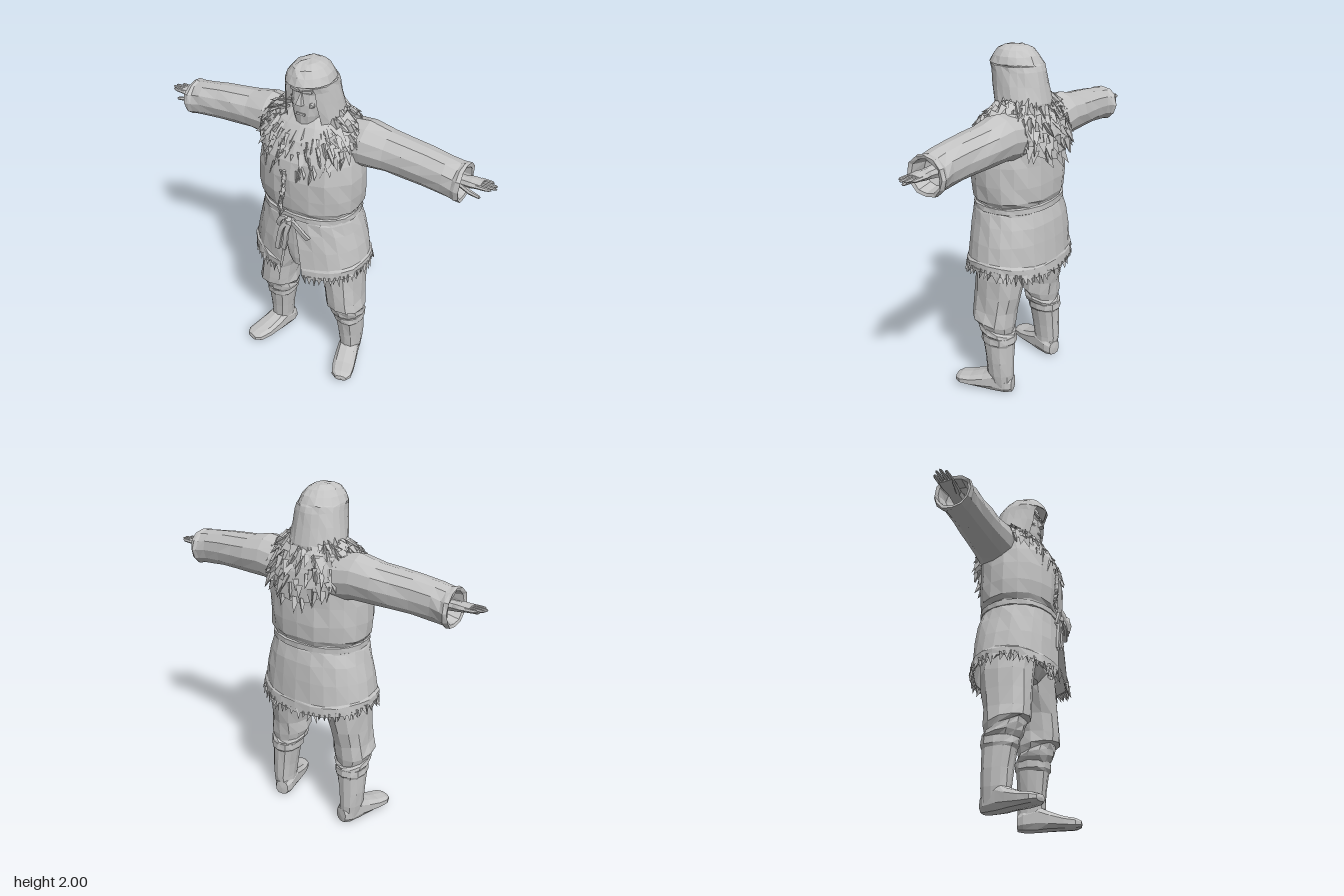
import * as THREE from 'three';
import { mergeGeometries } from 'three/addons/utils/BufferGeometryUtils.js';

const cloth = new THREE.MeshStandardMaterial({ color: 0xc4c4c4, flatShading: true, side: THREE.DoubleSide });
cloth.name = 'plain grey';

// Small seeded random source
let seed = 7;
const rand = () => (seed = (seed * 16807) % 2147483647) / 2147483647;
const vary = (a) => (rand() * 2 - 1) * a;

function mesh(name, geometry) {
  const m = new THREE.Mesh(geometry, cloth);
  m.name = name;
  return m;
}

// Surface from a rule fn(column 0..1, row index, column index)
function grid(cols, rows, fn) {
  const pos = [], idx = [];
  for (let i = 0; i < rows; i++) for (let j = 0; j <= cols; j++) pos.push(...fn(j / cols, i, j));
  for (let i = 0; i < rows - 1; i++) for (let j = 0; j < cols; j++) {
    const a = i * (cols + 1) + j, c = a + cols + 1;
    idx.push(a, a + 1, c, a + 1, c + 1, c);
  }
  const g = new THREE.BufferGeometry();
  g.setAttribute('position', new THREE.Float32BufferAttribute(pos, 3));
  g.setIndex(idx);
  g.computeVertexNormals();
  return g;
}

const soft = (v, p) => Math.sign(v) * Math.abs(v) ** p;

// Loft; each row is [y, centreX, centreZ, radiusX, radiusZ, frontGap, tilt, sag]
function loft(rows, cols = 14, jitter = 0.005, p = 0.88) {
  const noise = rows.map(() => Array.from({ length: cols }, () => [vary(jitter), vary(jitter)]));
  return grid(cols, rows.length, (u, i, j) => {
    const [y, cx, cz, rx, rz, gap = 0, tilt = 0, sag = 0] = rows[i];
    const t = gap + u * (Math.PI * 2 - 2 * gap), c = Math.cos(t), s = Math.sin(t);
    const [n, h] = rx > 0 ? noise[i][j % cols] : [0, 0];
    return [cx + soft(s, p) * (rx + n), y + tilt * c - sag * c * c + h, cz + soft(c, p) * (rz + n)];
  });
}

// Three-sided lock of fur
function tuft(at, dir, len, width) {
  const g = new THREE.ConeGeometry(width, len, 3);
  g.rotateY(rand() * 6);
  g.translate(0, len * 0.3, 0);
  g.applyQuaternion(new THREE.Quaternion().setFromUnitVectors(new THREE.Vector3(0, 1, 0), dir.clone().normalize()));
  return g.translate(at.x, at.y, at.z);
}

// Flat ribbon along a path
function ribbon(points, w, thick) {
  const curve = new THREE.CatmullRomCurve3(points.map((q) => new THREE.Vector3(...q)));
  const n = 8;
  return grid(4, n + 1, (u, i) => {
    const q = curve.getPoint(i / n), t = curve.getTangent(i / n);
    const a = u * Math.PI * 2 + Math.PI / 4, s = Math.sin(a) * w * 0.7, c = Math.cos(a) * thick * 0.7;
    const l = Math.hypot(t.x, t.y) || 1;
    return [q.x + (t.y / l) * s, q.y - (t.x / l) * s, q.z + c];
  });
}

function makeArm() {
  const arm = new THREE.Group();
  // Sleeve with a hollow cuff
  const sleeve = loft([
    [0.16, -1.55, -0.07, 0.13, 0.13], [0.3, -1.57, -0.07, 0.125, 0.128], [0.42, -1.562, -0.07, 0.112, 0.115],
    [0.52, -1.555, -0.065, 0.108, 0.108], [0.63, -1.547, -0.06, 0.106, 0.102], [0.74, -1.537, -0.055, 0.101, 0.1],
    [0.8, -1.527, -0.055, 0.1, 0.102], [0.82, -1.525, -0.055, 0.104, 0.11], [0.84, -1.525, -0.055, 0.1, 0.105],
    [0.835, -1.525, -0.055, 0.082, 0.086], [0.76, -1.53, -0.055, 0.07, 0.075], [0.72, -1.53, -0.055, 0, 0],
  ], 12, 0.004, 1);
  arm.add(mesh('sleeve', sleeve.rotateZ(-Math.PI / 2)));
  // Palm, fingers and thumb
  const palm = loft([[0.74, -1.53, -0.055, 0.035, 0.04], [0.83, -1.535, -0.055, 0.025, 0.035],
    [0.87, -1.54, -0.058, 0.022, 0.045], [0.92, -1.543, -0.06, 0.014, 0.045], [0.925, -1.543, -0.06, 0, 0]], 8, 0);
  arm.add(mesh('palm', palm.rotateZ(-Math.PI / 2)));
  [0.97, 0.995, 1, 0.98].forEach((tip, k) => {
    const z = -0.094 + k * 0.023;
    const f = loft([[0.9, -1.543, z, 0.01, 0.012], [0.95, -1.545, z, 0.009, 0.011], [tip - 0.01, -1.547, z, 0.006, 0.008],
      [tip, -1.547, z, 0, 0]], 6, 0);
    arm.add(mesh('finger', f.rotateZ(-Math.PI / 2)));
  });
  const thumb = loft([[0.82, -1.525, -0.03, 0.014, 0.016], [0.88, -1.51, -0.012, 0.012, 0.013],
    [0.93, -1.505, -0.004, 0.008, 0.009], [0.94, -1.505, -0.003, 0, 0]], 6, 0);
  arm.add(mesh('thumb', thumb.rotateZ(-Math.PI / 2)));
  return arm;
}

function makeLeg() {
  const leg = new THREE.Group();
  // Baggy trouser leg folding over the boot
  leg.add(mesh('trouserLeg', loft([
    [0.37, 0.243, -0.025, 0.078, 0.09], [0.4, 0.24, -0.015, 0.1, 0.108, 0, 0.02], [0.425, 0.235, -0.01, 0.105, 0.11, 0, 0.03],
    [0.445, 0.235, 0, 0.1, 0.11, 0, 0.04], [0.475, 0.235, 0.01, 0.116, 0.125, 0, 0.02], [0.54, 0.23, 0.006, 0.106, 0.13],
    [0.64, 0.218, -0.002, 0.112, 0.138], [0.75, 0.195, -0.008, 0.135, 0.145], [0.84, 0.175, -0.01, 0.14, 0.148], [0.98, 0.16, -0.01, 0.13, 0.145],
  ], 12, 0.006)));
  // Boot shaft with a rolled top
  leg.add(mesh('bootShaft', loft([
    [0.05, 0.25, -0.045, 0.058, 0.07], [0.13, 0.255, -0.04, 0.064, 0.08], [0.22, 0.252, -0.035, 0.072, 0.083],
    [0.33, 0.245, -0.028, 0.08, 0.092], [0.345, 0.245, -0.026, 0.09, 0.102], [0.385, 0.242, -0.024, 0.09, 0.102], [0.395, 0.242, -0.024, 0.075, 0.085],
  ], 12, 0.003)));
  // Foot turned outward
  const foot = loft([
    [-0.08, 0, -0.055, 0, 0], [-0.075, 0, -0.055, 0.04, 0.046], [-0.04, 0, -0.062, 0.06, 0.059], [0.04, 0, -0.075, 0.064, 0.074],
    [0.1, 0, -0.063, 0.068, 0.055], [0.18, 0.002, -0.05, 0.07, 0.038], [0.245, 0.006, -0.046, 0.062, 0.03],
    [0.275, 0.01, -0.045, 0.035, 0.018], [0.28, 0.01, -0.045, 0, 0],
  ], 10, 0.001, 0.75).rotateX(Math.PI / 2).rotateY(0.27).translate(0.25, 0, -0.04);
  leg.add(mesh('foot', foot));
  return leg;
}

function makeHead() {
  const head = new THREE.Group();
  head.name = 'head';
  head.add(mesh('hood', loft([
    [1.62, 0, -0.03, 0.165, 0.15, 0.75], [1.71, 0, -0.03, 0.162, 0.15, 0.65], [1.8, 0, -0.012, 0.146, 0.148, 0.62],
    [1.87, 0, 0, 0.133, 0.147, 0.66], [1.9, 0, 0.012, 0.127, 0.147, 0.62], [1.908, 0, 0.018, 0.124, 0.148],
    [1.945, 0, 0.02, 0.108, 0.128], [1.975, 0, 0.022, 0.082, 0.1], [1.995, 0, 0.02, 0.045, 0.06], [2, 0, 0.015, 0, 0],
  ], 18, 0.003, 0.95)));
  head.add(mesh('face', loft([
    [1.58, 0, 0.01, 0.07, 0.07], [1.655, 0, 0.02, 0.055, 0.075], [1.68, 0, 0.025, 0.068, 0.09], [1.73, 0, 0.025, 0.083, 0.095],
    [1.79, 0, 0.025, 0.094, 0.094], [1.845, 0, 0.025, 0.094, 0.083], [1.87, 0, 0.025, 0.092, 0.095], [1.92, 0, 0.02, 0.09, 0.09],
  ], 14, 0.001, 0.9)));
  // Wedge nose, brow and lips
  const nose = new THREE.ConeGeometry(0.024, 0.075, 4).rotateY(Math.PI / 4).rotateX(-0.25).translate(0, 1.828, 0.118);
  head.add(mesh('nose', nose));
  head.add(mesh('lips', new THREE.BoxGeometry(0.05, 0.012, 0.02).translate(0, 1.738, 0.113)));
  for (const s of [-1, 1]) {
    head.add(mesh('brow', new THREE.BoxGeometry(0.05, 0.014, 0.02).rotateZ(s * 0.1).rotateY(s * 0.25).translate(s * 0.036, 1.868, 0.112)));
    head.add(mesh('cheek', new THREE.IcosahedronGeometry(0.022, 0).translate(s * 0.05, 1.79, 0.092)));
  }
  return head;
}

function makeCollar() {
  const collar = new THREE.Group();
  collar.name = 'furCollar';
  // Mantle: high over the shoulders, deep at chest and back
  const point = (t, depth) => {
    const s = Math.max(0, depth), c = Math.cos(t);
    const top = 1.74 - 0.08 * Math.max(0, c), low = 1.6 - 0.18 * c * c;
    const r = Math.sin((s * Math.PI) / 2);
    return new THREE.Vector3(soft(Math.sin(t), 0.9) * (0.12 + 0.165 * r), top + (low - top) * s ** 1.3,
      -0.018 + soft(c, 0.9) * (0.11 + 0.122 * r));
  };
  collar.add(mesh('mantle', grid(24, 6, (u, i) => point(u * Math.PI * 2, 1 - i / 5).toArray())));
  // Rows of fur locks
  const locks = [];
  for (let i = 0; i < 7; i++) for (let j = 0; j < 34; j++) {
    const t = ((j + (i % 2) / 2) / 34) * Math.PI * 2 + vary(0.07), s = 0.12 + i * 0.14 + vary(0.05);
    const at = point(t, s), dir = point(t, s + 0.08).sub(point(t, s - 0.08)).normalize();
    dir.add(new THREE.Vector3(Math.sin(t) * 0.3 + vary(0.35), vary(0.25), Math.cos(t) * 0.3 + vary(0.2)));
    locks.push(tuft(at, dir, 0.06 + rand() * 0.035, 0.019 + rand() * 0.012));
  }
  collar.add(mesh('collarFur', mergeGeometries(locks)));
  return collar;
}

function makeCoat() {
  const coat = new THREE.Group();
  coat.name = 'coat';
  coat.add(mesh('torso', loft([
    [1.14, 0, 0, 0.275, 0.208], [1.18, 0, 0, 0.275, 0.208], [1.205, 0, 0, 0.292, 0.222], [1.29, 0, 0.004, 0.3, 0.228],
    [1.4, 0, 0.006, 0.298, 0.228], [1.5, 0, 0, 0.288, 0.22], [1.6, 0, -0.02, 0.268, 0.195], [1.67, 0, -0.035, 0.225, 0.155],
    [1.72, 0, -0.04, 0.14, 0.11], [1.75, 0, -0.03, 0, 0],
  ], 20, 0.005)));
  // Skirt open at the front, with a thick hem
  coat.add(mesh('skirt', loft([
    [0.88, 0, -0.005, 0.31, 0.215, 0.16], [0.815, 0, -0.005, 0.335, 0.235, 0.17, 0, 0.045], [0.81, 0, -0.005, 0.355, 0.252, 0.17, 0, 0.045],
    [0.855, 0, -0.005, 0.354, 0.252, 0.16, 0, 0.035], [0.865, 0, -0.005, 0.342, 0.244, 0.15, 0, 0.035],
    [0.96, 0, -0.005, 0.325, 0.238, 0.11], [1.06, 0, -0.005, 0.303, 0.228, 0.06], [1.13, 0, 0, 0.284, 0.216, 0.01], [1.15, 0, 0, 0.276, 0.208],
  ], 24, 0.004)));
  coat.add(mesh('belt', loft([[1.135, 0, 0, 0.276, 0.21], [1.14, 0, 0, 0.284, 0.219], [1.17, 0, 0, 0.284, 0.219], [1.175, 0, 0, 0.274, 0.208]], 22, 0.002)));
  // Ragged hem fur
  const hem = [], edge = [];
  for (let j = 0; j < 64; j++) {
    const t = 0.2 + (j / 63) * (Math.PI * 2 - 0.4), c = Math.cos(t), s = Math.sin(t);
    const at = new THREE.Vector3(soft(s, 0.88) * 0.347, 0.815 - 0.045 * c * c, -0.005 + soft(c, 0.88) * 0.245);
    hem.push(tuft(at, new THREE.Vector3(s * 0.25 + vary(0.3), -1, c * 0.25 + vary(0.3)), 0.045 + rand() * 0.025, 0.018));
  }
  // Fur edging down the chest opening
  for (let k = 0; k < 14; k++) {
    const at = new THREE.Vector3(-0.03 - k * 0.0028 + vary(0.008), 1.44 - k * 0.02, 0.232);
    edge.push(tuft(at, new THREE.Vector3(vary(0.5), -1, 0.1 + vary(0.15)), 0.055, 0.016));
  }
  coat.add(mesh('hemFur', mergeGeometries(hem)), mesh('chestFur', mergeGeometries(edge)));
  // Knotted sash with loops and tails
  const z = 0.235;
  coat.add(mesh('sashKnot', new THREE.DodecahedronGeometry(0.032, 0).scale(1.1, 0.9, 0.8).translate(-0.005, 1.135, z)));
  const paths = [
    [[-0.01, 1.14, z], [-0.05, 1.08, z + 0.01], [-0.07, 1, z + 0.01], [-0.085, 0.92, z + 0.01]],
    [[0, 1.13, z], [-0.02, 1.06, z + 0.012], [-0.025, 1, z + 0.015], [-0.04, 0.935, z + 0.012]],
    [[0, 1.14, z], [0.04, 1.13, z + 0.012], [0.08, 1.09, z + 0.008], [0.11, 1.05, z - 0.005]],
    [[-0.01, 1.14, z], [-0.04, 1.155, z + 0.01], [-0.065, 1.12, z + 0.01], [-0.07, 1.08, z]],
  ];
  paths.forEach((q) => coat.add(mesh('sashEnd', ribbon(q, 0.026, 0.016))));
  return coat;
}

export function createModel() {
  seed = 7;
  const model = new THREE.Group();
  model.name = 'figureInFurCoat';
  model.add(makeHead(), makeCoat(), makeCollar());
  // Trouser seat and inner front flap
  model.add(mesh('trouserSeat', loft([[0.77, 0, -0.01, 0, 0], [0.79, 0, -0.01, 0.08, 0.1], [0.86, 0, -0.01, 0.2, 0.14], [1.12, 0, -0.01, 0.23, 0.17]], 14, 0.003)));
  model.add(mesh('innerFlap', loft([[0.79, 0, 0.17, 0.03, 0.012], [0.85, 0, 0.18, 0.05, 0.014], [0.95, 0, 0.19, 0.06, 0.014], [1.1, 0, 0.195, 0.04, 0.012]], 8, 0.003)));
  // Paired limbs
  for (const [name, limb] of [['Arm', makeArm()], ['Leg', makeLeg()]]) {
    const other = limb.clone();
    limb.name = 'left' + name;
    other.name = 'right' + name;
    other.scale.x = -1;
    model.add(limb, other);
  }
  return model;
}
